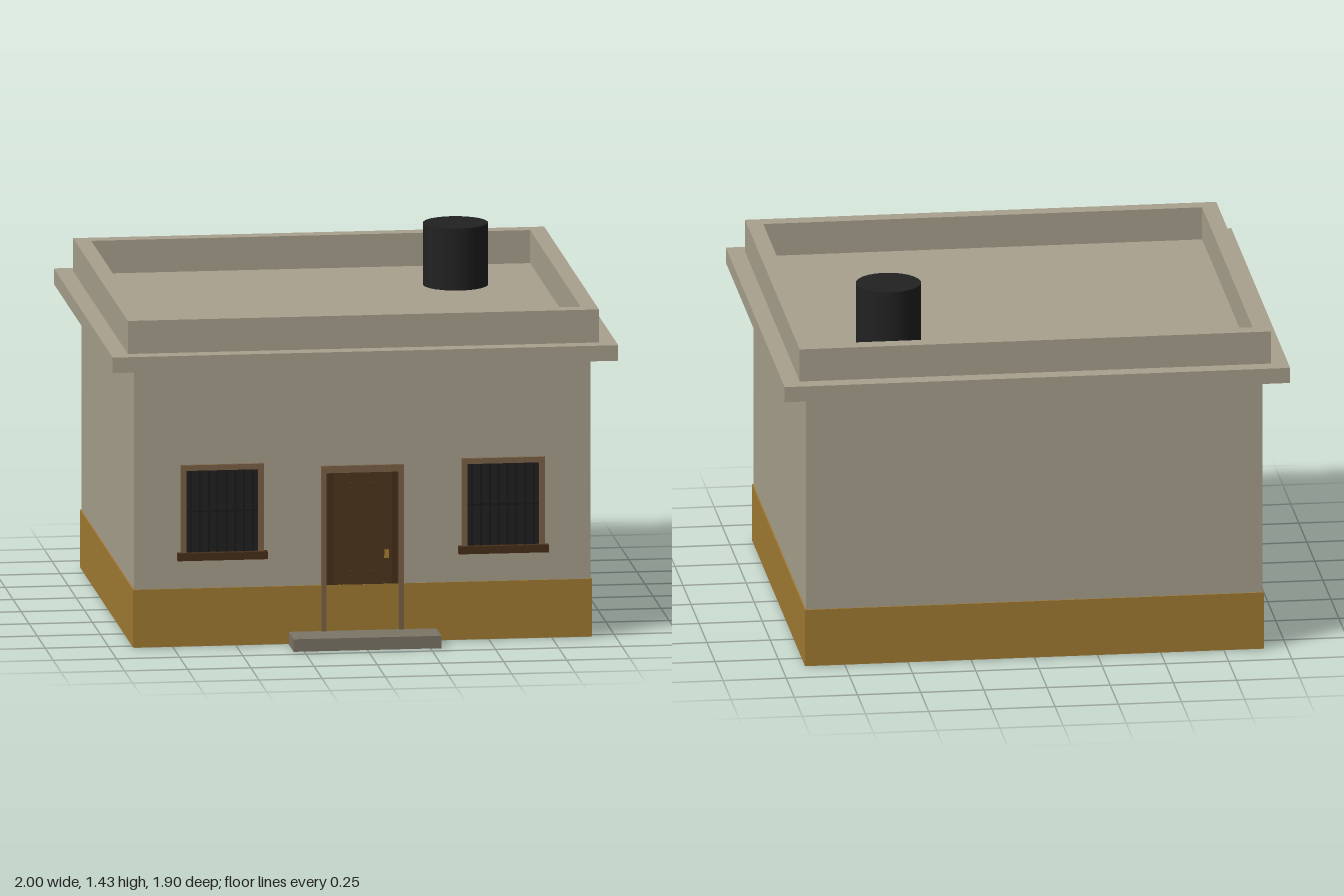
import * as THREE from 'three';

const material = (name, color) => Object.assign(new THREE.MeshStandardMaterial({ color }), { name });

export function createModel() {
  const wall = material('plaster', 0xaaa28e);
  const ochre = material('ochre plinth paint', 0xa47d33);
  const stone = material('step stone', 0x7d7668);
  const frameWood = material('frame wood', 0x7c6349);
  const doorWood = material('door wood', 0x50371f);
  const darkWood = material('dark wood', 0x472e19);
  const black = material('tank black', 0x222222);
  const iron = material('bar iron', 0x1a1a1a);
  const brass = material('brass', 0xa88432);

  const model = new THREE.Group();
  model.name = 'house';

  // Box given by its limits on each axis
  const box = (parent, name, mat, x0, x1, y0, y1, z0, z1) => {
    const mesh = new THREE.Mesh(new THREE.BoxGeometry(x1 - x0, y1 - y0, z1 - z0), mat);
    mesh.position.set((x0 + x1) / 2, (y0 + y1) / 2, (z0 + z1) / 2);
    mesh.name = name;
    parent.add(mesh);
    return mesh;
  };
  const rect = (P, w, d) => new P([[-w, -d], [w, -d], [w, d], [-w, d]].map(([x, y]) => new THREE.Vector2(x, y)));
  const midZ = -0.033;

  // Body, painted plinth and roof slab
  box(model, 'walls', wall, -0.903, 0.903, 0, 1.12, -0.855, 0.789);
  box(model, 'plinth', ochre, -0.908, 0.908, 0.002, 0.233, -0.86, 0.794);
  box(model, 'roofSlab', wall, -1, 1, 1.12, 1.182, -0.95, 0.884);

  // Parapet: an upright ring around the flat roof
  const ring = rect(THREE.Shape, 0.932, 0.851);
  ring.holes.push(rect(THREE.Path, 0.868, 0.787));
  const parapet = new THREE.Mesh(
    new THREE.ExtrudeGeometry(ring, { depth: 0.132, bevelEnabled: false }).rotateX(-Math.PI / 2), wall);
  parapet.position.set(0, 1.182, midZ);
  parapet.name = 'parapet';
  model.add(parapet);

  // Water tank on the roof
  const tank = new THREE.Mesh(new THREE.CylinderGeometry(0.128, 0.128, 0.25, 24), black);
  tank.position.set(0.523, 1.305, -0.427);
  tank.name = 'waterTank';
  model.add(tank);

  // Front step
  box(model, 'step', stone, -0.292, 0.292, 0, 0.05, 0.78, 0.948);

  // Door with frame, raised panels and handle
  const door = new THREE.Group();
  door.name = 'door';
  model.add(door);
  box(door, 'doorLeaf', doorWood, -0.143, 0.143, 0.05, 0.682, 0.78, 0.791);
  for (const s of [-1, 1]) {
    box(door, 'doorJamb', frameWood, s * 0.153 - 0.01, s * 0.153 + 0.01, 0.05, 0.71, 0.78, 0.802);
    box(door, 'doorStile', darkWood, s * 0.127 - 0.012, s * 0.127 + 0.012, 0.233, 0.68, 0.785, 0.7925);
  }
  box(door, 'doorLintel', frameWood, -0.143, 0.143, 0.682, 0.71, 0.78, 0.802);
  box(door, 'upperPanel', doorWood, -0.087, 0.1, 0.345, 0.64, 0.785, 0.793);
  box(door, 'lowerPanel', doorWood, -0.087, 0.1, 0.233, 0.288, 0.785, 0.793);
  box(door, 'doorHandle', brass, 0.086, 0.104, 0.338, 0.37, 0.79, 0.805);

  // Barred windows
  for (const cx of [-0.556, 0.556]) {
    const win = new THREE.Group();
    win.name = 'window';
    win.position.x = cx;
    model.add(win);
    box(win, 'pane', black, -0.142, 0.142, 0.375, 0.705, 0.785, 0.793);
    for (const s of [-1, 1])
      box(win, 'windowJamb', frameWood, s * 0.153 - 0.011, s * 0.153 + 0.011, 0.375, 0.727, 0.78, 0.802);
    box(win, 'windowHead', frameWood, -0.142, 0.142, 0.705, 0.727, 0.78, 0.802);
    box(win, 'windowSill', darkWood, -0.178, 0.178, 0.348, 0.378, 0.78, 0.82);
    for (let i = 0; i < 8; i++) {
      const x = -0.123 + i * 0.035;
      box(win, 'bar', iron, x - 0.004, x + 0.004, 0.378, 0.705, 0.793, 0.799);
    }
    box(win, 'crossBar', iron, -0.142, 0.142, 0.537, 0.547, 0.793, 0.8);
  }
  return model;
}
